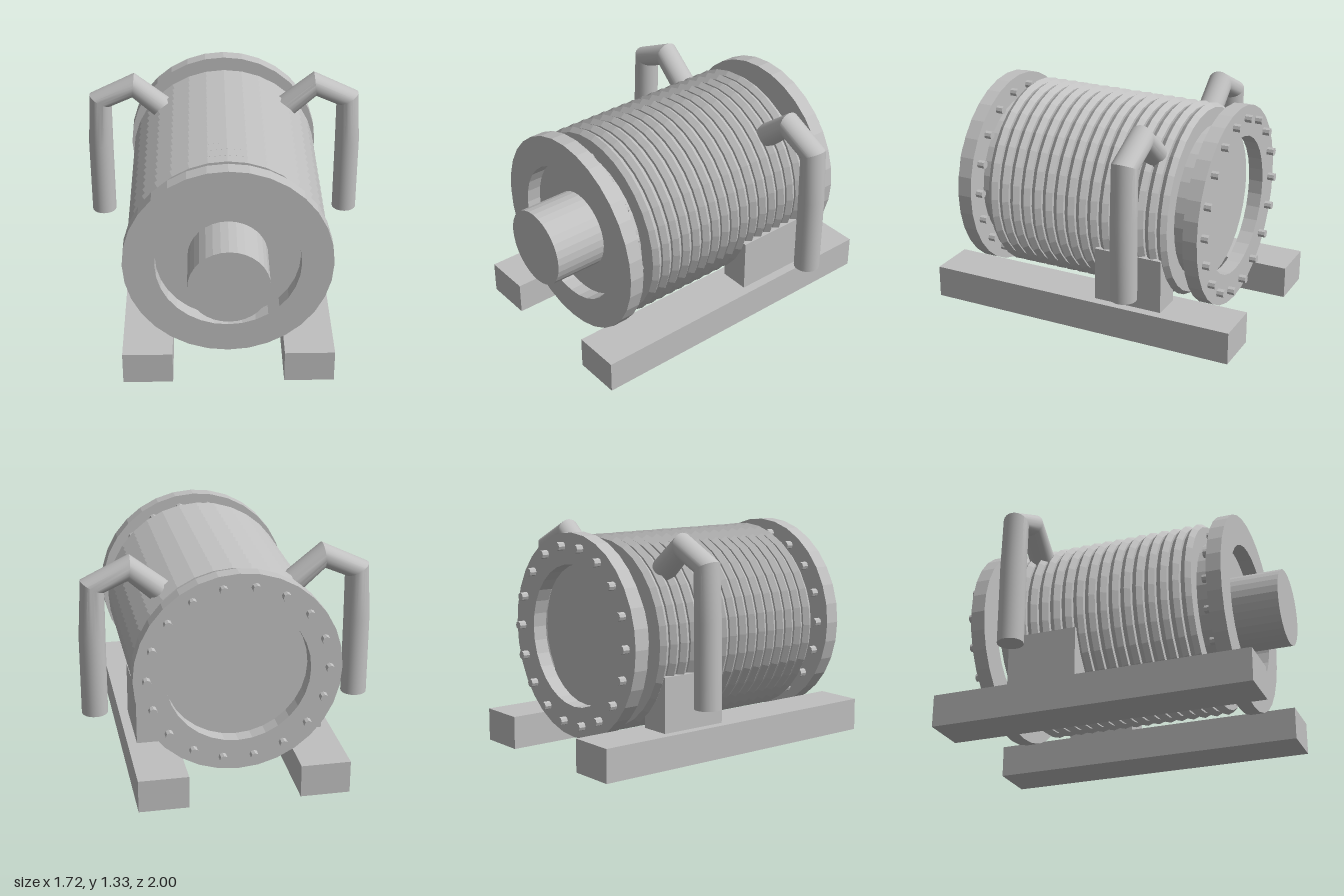
import * as THREE from 'three';
import { toCreasedNormals } from 'three/addons/utils/BufferGeometryUtils.js';

const AXIS_Y = 0.705;
const SIDES = 32;

export function createModel() {
  const model = new THREE.Group();
  model.name = 'vessel';
  const grey = new THREE.MeshStandardMaterial({ color: 0xc0c0c0 });
  grey.name = 'grey steel';

  const add = (name, geometry, x, y, z, crease = 0.1) => {
    const mesh = new THREE.Mesh(toCreasedNormals(geometry, crease), grey);
    mesh.name = name;
    mesh.position.set(x, y, z);
    model.add(mesh);
    return mesh;
  };
  // box from its limits
  const box = (name, x0, x1, y0, y1, z0, z1) =>
    add(name, new THREE.BoxGeometry(x1 - x0, y1 - y0, z1 - z0),
      (x0 + x1) / 2, (y0 + y1) / 2, (z0 + z1) / 2);
  // cylinder lying along z
  const rod = (name, r, z0, z1, x = 0, y = AXIS_Y, sides = SIDES) =>
    add(name, new THREE.CylinderGeometry(r, r, z1 - z0, sides).rotateX(Math.PI / 2),
      x, y, (z0 + z1) / 2);
  // ring turned about the z axis from [radius, z] points
  const turned = (name, points, z) =>
    add(name, new THREE.LatheGeometry(points.map(p => new THREE.Vector2(...p)), SIDES)
      .rotateX(Math.PI / 2), 0, AXIS_Y, z);

  // body and front hub
  rod('body', 0.458, -0.668, 0.682);
  rod('frontHub', 0.231, 0.67, 1.0);

  // cooling ribs
  for (let i = 0; i < 16; i++) {
    turned('rib', [[0.45, -0.031], [0.56, -0.031], [0.583, 0], [0.56, 0.031], [0.45, 0.031]],
      0.55 - i * 0.0738);
  }

  // open flanges with bolt heads on their rear faces
  for (const [name, z0, z1] of [['frontFlange', 0.682, 0.77], ['rearFlange', -0.79, -0.703]]) {
    turned(name, [[0.418, z0], [0.602, z0], [0.602, z1], [0.418, z1], [0.418, z0]], 0);
    for (let i = 0; i < 18; i++) {
      const a = (i / 18) * Math.PI * 2;
      rod('bolt', 0.025, z0 - 0.043, z0 + 0.01,
        0.525 * Math.cos(a), AXIS_Y + 0.525 * Math.sin(a), 8);
    }
  }

  for (const s of [1, -1]) {
    const [a, b] = s > 0 ? [0.323, 0.612] : [-0.612, -0.323];
    const [c, d] = s > 0 ? [0.374, 0.557] : [-0.557, -0.374];
    box('skid', a, b, 0, 0.196, -1, 0.933);
    box('saddle', c, d, 0.19, 0.52, -0.553, -0.13);
    add('sidePipe', pipeGeometry(s), 0, 0, -0.43, 0.45);
  }
  return model;
}

// bent pipe: rings of equal radius set square to each bend, closed at both ends
function pipeGeometry(side) {
  // x, y and tilt of the ring's outward direction
  const rings = [[0.784, 0.365, 0], [0.784, 0.85, 0], [0.773, 1.153, 0.5],
    [0.567, 1.25, 1.67], [0.29, 1.015, 2.27]];
  const n = 24, r = 0.077, pos = [], index = [];
  const ring = ([x, y, tilt], radius) => {
    for (let j = 0; j < n; j++) {
      const a = (j / n) * Math.PI * 2;
      const out = radius * Math.cos(a);
      pos.push(side * (x + out * Math.cos(tilt)), y + out * Math.sin(tilt), radius * Math.sin(a));
    }
  };
  ring(rings[0], 0);
  rings.forEach(p => ring(p, r));
  ring(rings[rings.length - 1], 0);
  for (let i = 0; i < rings.length + 1; i++) {
    for (let j = 0; j < n; j++) {
      const k = (j + 1) % n;
      const a = i * n + j, b = i * n + k, c = a + n, d = b + n;
      const tris = [];
      if (i < rings.length) tris.push([a, c, d]);
      if (i > 0) tris.push([a, d, b]);
      for (const [p, q, t] of tris) index.push(...(side > 0 ? [p, q, t] : [p, t, q]));
    }
  }
  const geometry = new THREE.BufferGeometry();
  geometry.setAttribute('position', new THREE.Float32BufferAttribute(pos, 3));
  geometry.setIndex(index);
  return geometry;
}
